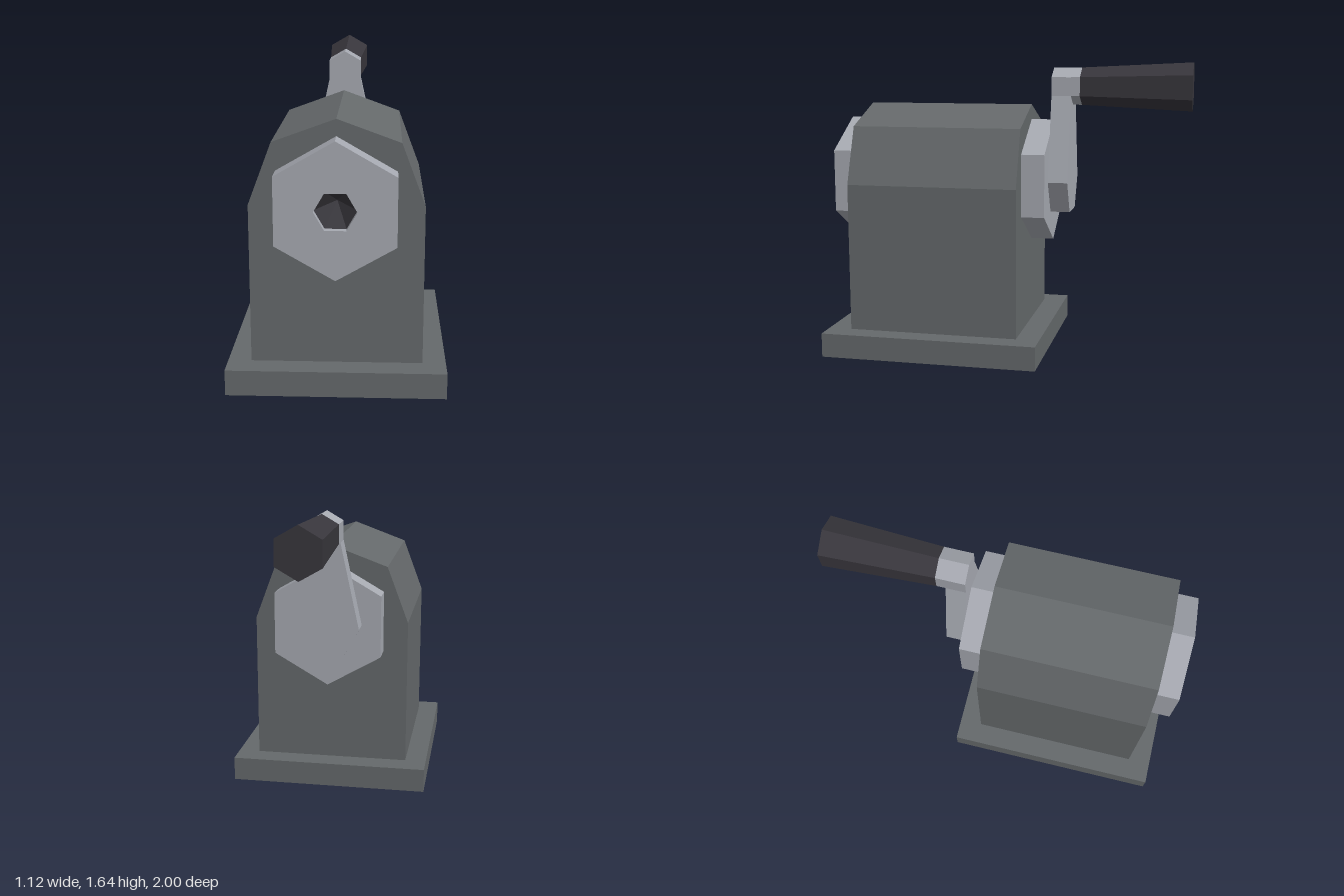
import * as THREE from 'three';

const makeMaterial = (name, color) => {
  const m = new THREE.MeshStandardMaterial({ color, flatShading: true, side: THREE.DoubleSide });
  m.name = name;
  return m;
};

// Corner points of a hexagon; start is the angle of the first corner
const hexagon = (radius, cy, start) =>
  Array.from({ length: 6 }, (_, i) => {
    const a = start + (i * Math.PI) / 3;
    return new THREE.Vector2(radius * Math.cos(a), cy + radius * Math.sin(a));
  });

export function createModel() {
  const group = new THREE.Group();
  const casing = makeMaterial('casing grey', 0x65696b);
  const metal = makeMaterial('light metal', 0xa6a9b1);
  const dark = makeMaterial('dark plastic', 0x38363c);
  const axisY = 0.967; // height of the crank axis
  const knobY = 1.505; // height of the handle axis
  const pointUp = Math.PI / 6;

  const add = (name, geometry, material) => {
    const mesh = new THREE.Mesh(geometry, material);
    mesh.name = name;
    group.add(mesh);
    return mesh;
  };

  // Straight prism between two z positions, with an optional hole
  const prism = (name, points, z0, z1, material, hole) => {
    const shape = new THREE.Shape(points);
    if (hole) shape.holes.push(new THREE.Path(hole));
    const geometry = new THREE.ExtrudeGeometry(shape, { depth: z1 - z0, bevelEnabled: false });
    return add(name, geometry.translate(0, 0, z0), material);
  };

  // Outline symmetric about x = 0, from its right half listed bottom to top
  const mirrored = (half) => [
    ...half,
    ...half.filter(([x]) => x > 0).reverse().map(([x, y]) => [-x, y]),
  ].map(([x, y]) => new THREE.Vector2(x, y));

  // Base plate
  add('base', new THREE.BoxGeometry(1.12, 0.135, 1.22).translate(0, 0.0675, 0.39), casing);

  // Gabled casing, bored for the pencil socket
  const socket = hexagon(0.107, axisY, 0);
  const outline = mirrored([[0.44, 0.135], [0.44, 0.965], [0.32, 1.283], [0, 1.4]]);
  prism('casing', outline, -0.09, 0.87, casing, socket);

  // Hexagonal collars
  const collar = hexagon(0.348, axisY, pointUp);
  prism('frontCollar', collar, 0.87, 1, metal, socket);
  prism('backCollar', collar, -0.22, -0.09, metal);

  // Tapered pencil socket
  const cone = new THREE.ConeGeometry(0.107, 0.2, 6, 1, true);
  cone.rotateY(pointUp).rotateX(-Math.PI / 2).translate(0, axisY, 0.86);
  add('pencilSocket', cone, dark);

  // Crank arm and the stub that holds the handle
  const arm = mirrored([[0.097, 0.796], [0.194, 0.975], [0.091, 1.452], [0.091, 1.557], [0, 1.61]]);
  prism('crankArm', arm, -0.33, -0.22, metal);
  prism('handleStub', hexagon(0.105, knobY, pointUp), -0.38, -0.33, metal);

  // Flared handle, wide end at the back
  const handle = new THREE.CylinderGeometry(0.135, 0.105, 0.62, 6);
  handle.rotateX(-Math.PI / 2).translate(0, knobY, -0.69);
  add('handle', handle, dark);

  return group;
}
